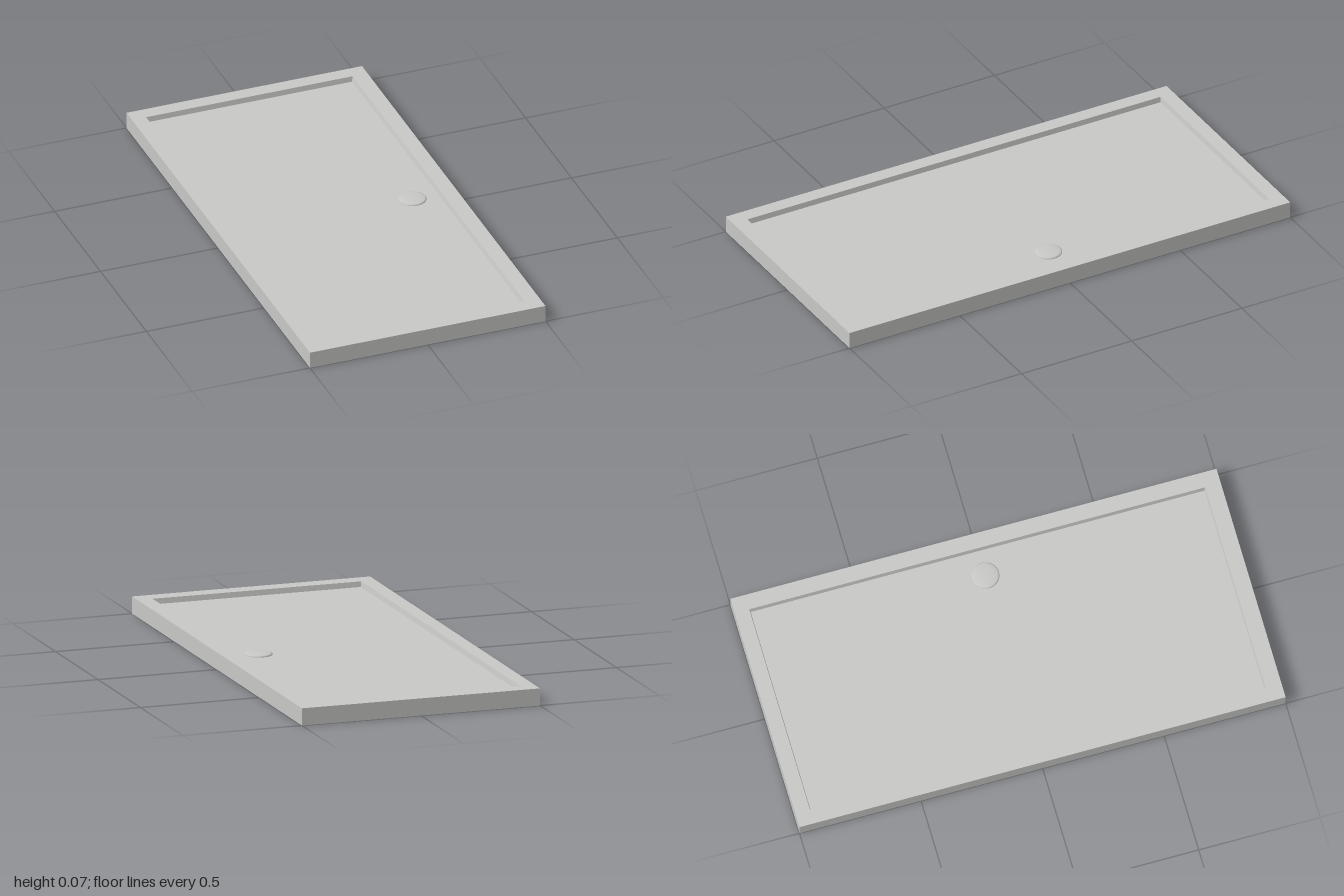
import * as THREE from 'three';

const enamel = new THREE.MeshStandardMaterial({ color: 0xc8c8c6, side: THREE.DoubleSide });
enamel.name = 'greyEnamel';

// Rectangle loop at height y: corners run from back left round to front left
const rect = (x0, x1, z0, z1, y) => [[x0, y, z0], [x1, y, z0], [x1, y, z1], [x0, y, z1]];

// Flat-shaded band joining two rectangle loops (first loop is the outer or lower one)
function band(a, b, name) {
  const p = [];
  for (let i = 0; i < 4; i++) {
    const j = (i + 1) % 4;
    p.push(...a[i], ...b[i], ...b[j], ...a[i], ...b[j], ...a[j]);
  }
  return mesh(p, name);
}

function mesh(positions, name) {
  const g = new THREE.BufferGeometry();
  g.setAttribute('position', new THREE.Float32BufferAttribute(positions, 3));
  g.computeVertexNormals();
  const m = new THREE.Mesh(g, enamel);
  m.name = name;
  return m;
}

export function createModel() {
  const group = new THREE.Group();
  group.name = 'showerTray';

  // Thin open-bottomed shell: skirt, flat rim, steep basin wall, floor
  const foot = rect(-0.5, 0.5, -1, 1, 0);
  const edge = rect(-0.5, 0.5, -1, 1, 0.07);
  const lip = rect(-0.44, 0.437, -0.94, 0.935, 0.07);
  const base = rect(-0.436, 0.432, -0.936, 0.931, 0.048);
  group.add(band(foot, edge, 'skirt'), band(edge, lip, 'rim'), band(lip, base, 'basinWall'));
  const [a, b, c, d] = base;
  group.add(mesh([...a, ...d, ...c, ...a, ...c, ...b], 'basinFloor'));

  // Shallow domed drain cover
  const profile = [[0.055, 0], [0.055, 0.004], [0.05, 0.007], [0.03, 0.009], [0, 0.01]]
    .map(([r, y]) => new THREE.Vector2(r, y));
  const cover = new THREE.Mesh(new THREE.LatheGeometry(profile, 40), enamel);
  cover.name = 'drainCover';
  cover.position.set(0.325, 0.048, 0);

  // Drain trap hanging under the floor
  const trap = new THREE.Mesh(new THREE.CylinderGeometry(0.06, 0.062, 0.04, 40), enamel);
  trap.name = 'drainTrap';
  trap.position.set(0.32, 0.0265, 0);
  group.add(cover, trap);

  return group;
}
